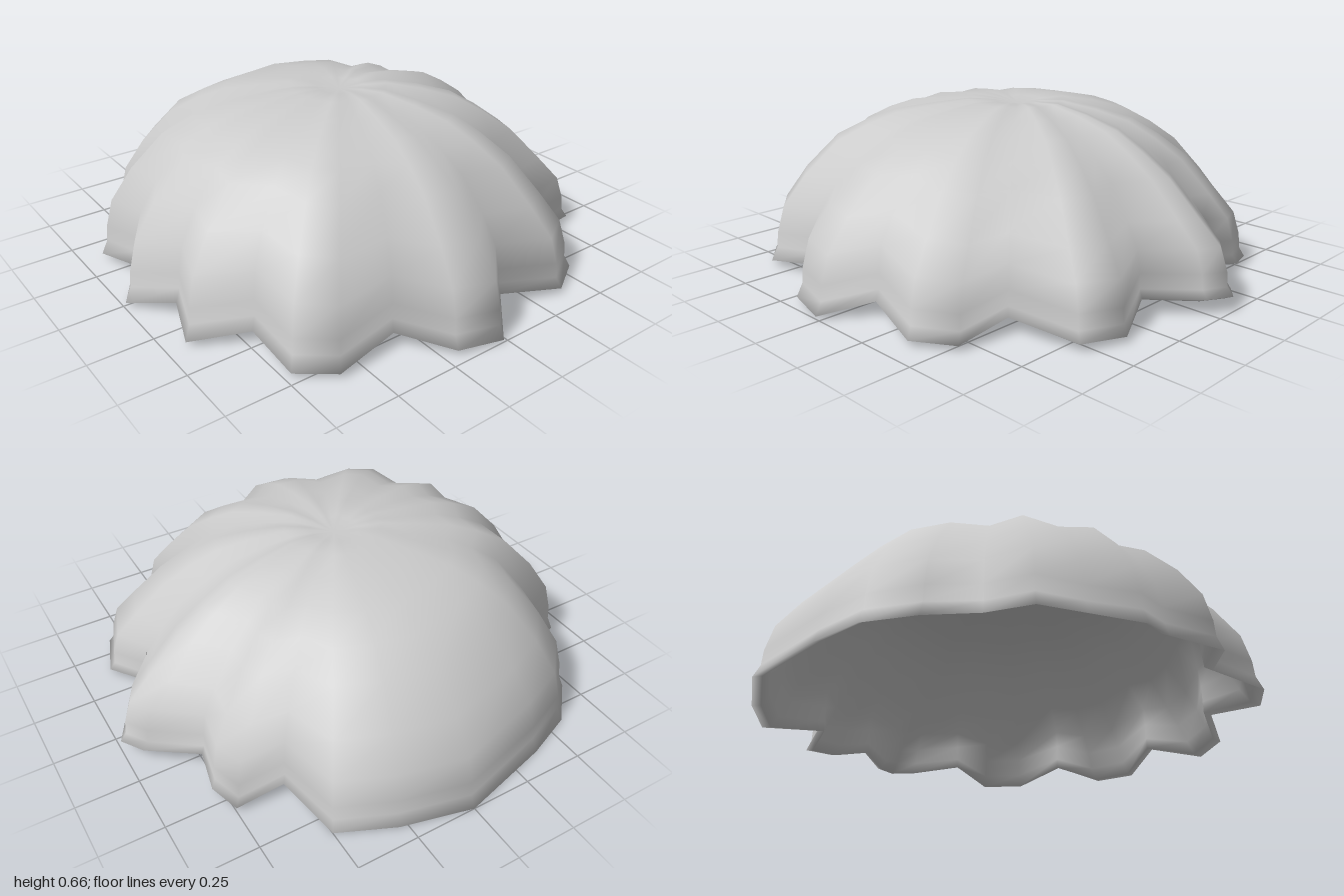
import * as THREE from 'three';
import { mergeVertices } from 'three/addons/utils/BufferGeometryUtils.js';

// Scalloped rim, clockwise from above: [x, z, height of the lower edge]
const rim = [
  [-1, 0, 0], [-0.93, -0.28, 0], [-0.83, -0.5, 0], [-0.58, -0.56, 0.05],
  [-0.57, -0.75, 0.02], [-0.45, -0.79, 0.03], [-0.3, -0.76, 0.06], [-0.16, -0.94, 0.05],
  [-0.08, -1, 0.06], [0.01, -0.95, 0.06], [0.18, -0.79, 0.07], [0.38, -0.88, 0.02],
  [0.55, -0.82, 0.03], [0.61, -0.55, 0.06], [0.82, -0.53, 0.02], [0.91, -0.38, 0.02],
  [0.84, -0.12, 0.06], [1, 0.02, 0.01], [0.96, 0.2, 0.02], [0.79, 0.35, 0.06],
  [0.82, 0.6, 0.02], [0.72, 0.73, 0.02], [0.48, 0.73, 0.05], [0.36, 0.93, 0.02],
  [0.18, 0.87, 0.06], [0, 0.99, 0.01], [-0.15, 0.88, 0.06], [-0.37, 0.92, 0.02],
  [-0.46, 0.74, 0.05], [-0.67, 0.72, 0], [-0.82, 0.58, 0], [-0.9, 0.38, 0],
];

// Sections as [scale, height]: outside from crown to rim, inside from rim to crown
const outside = [
  [0, 0.64], [0.1, 0.655], [0.2, 0.66], [0.34, 0.638], [0.485, 0.605], [0.6, 0.55],
  [0.72, 0.475], [0.85, 0.335], [0.94, 0.215], [0.97, 0.11], [0.975, 0.05], [1, 0],
];
const inside = [
  [0.965, 0.01], [0.95, 0.06], [0.935, 0.13], [0.91, 0.21], [0.82, 0.325],
  [0.695, 0.455], [0.58, 0.53], [0.46, 0.583], [0.2, 0.635], [0, 0.622],
];

const n = rim.length;
const radii = rim.map(([x, z]) => Math.hypot(x, z));

// Rim radius evened out over the neighbouring scallops
function evenRadius(j) {
  let sum = 0;
  for (let k = -2; k <= 2; k++) sum += radii[(j + k + n) % n];
  return (0.95 * sum) / 5;
}

function domeGeometry() {
  const positions = [], indices = [];
  const addRing = (s, h, inner) => {
    rim.forEach(([x, z, lift], j) => {
      const groove = Math.max(0, 0.97 - radii[j]);
      // Outside, the grooves fill out below the shoulder; inside, the wall is nearly smooth
      const smooth = 0.7 * Math.min(1, (0.965 - s) / 0.05);
      const scale = inner
        ? s * THREE.MathUtils.lerp(1, evenRadius(j) / radii[j], smooth)
        : s * (1 + 2 * groove * s * (1 - s));
      // The rim waves up and down, the grooves sink towards the crown,
      // and the front bulges more than the back
      const sink = inner ? 0 : 0.35 * groove * s * (1 - s);
      const bulge = 0.6 * z * s ** 4 * (1 - s);
      positions.push(x * scale, h + lift * s ** 4 - sink + bulge, z * scale);
    });
  };
  outside.forEach(([s, h]) => addRing(s, h, false));
  inside.forEach(([s, h]) => addRing(s, h, true));

  const last = outside.length + inside.length - 2;
  for (let i = 0; i <= last; i++) {
    for (let j = 0; j < n; j++) {
      const a = i * n + j, b = i * n + (j + 1) % n;
      const c = a + n, d = b + n;
      // Both crowns close as a fan of single triangles
      if (i === last) indices.push(a, b, c);
      else if (i === 0) indices.push(a, d, c);
      else indices.push(a, b, d, a, d, c);
    }
  }
  const geometry = new THREE.BufferGeometry();
  geometry.setAttribute('position', new THREE.Float32BufferAttribute(positions, 3));
  geometry.setIndex(indices);
  const welded = mergeVertices(geometry, 1e-4);
  welded.computeVertexNormals();
  return welded;
}

export function createModel() {
  const group = new THREE.Group();
  group.name = 'scallopedShell';
  const grey = new THREE.MeshStandardMaterial({ color: 0xcccccc });
  grey.name = 'lightGrey';
  const dome = new THREE.Mesh(domeGeometry(), grey);
  dome.name = 'dome';
  group.add(dome);
  return group;
}
